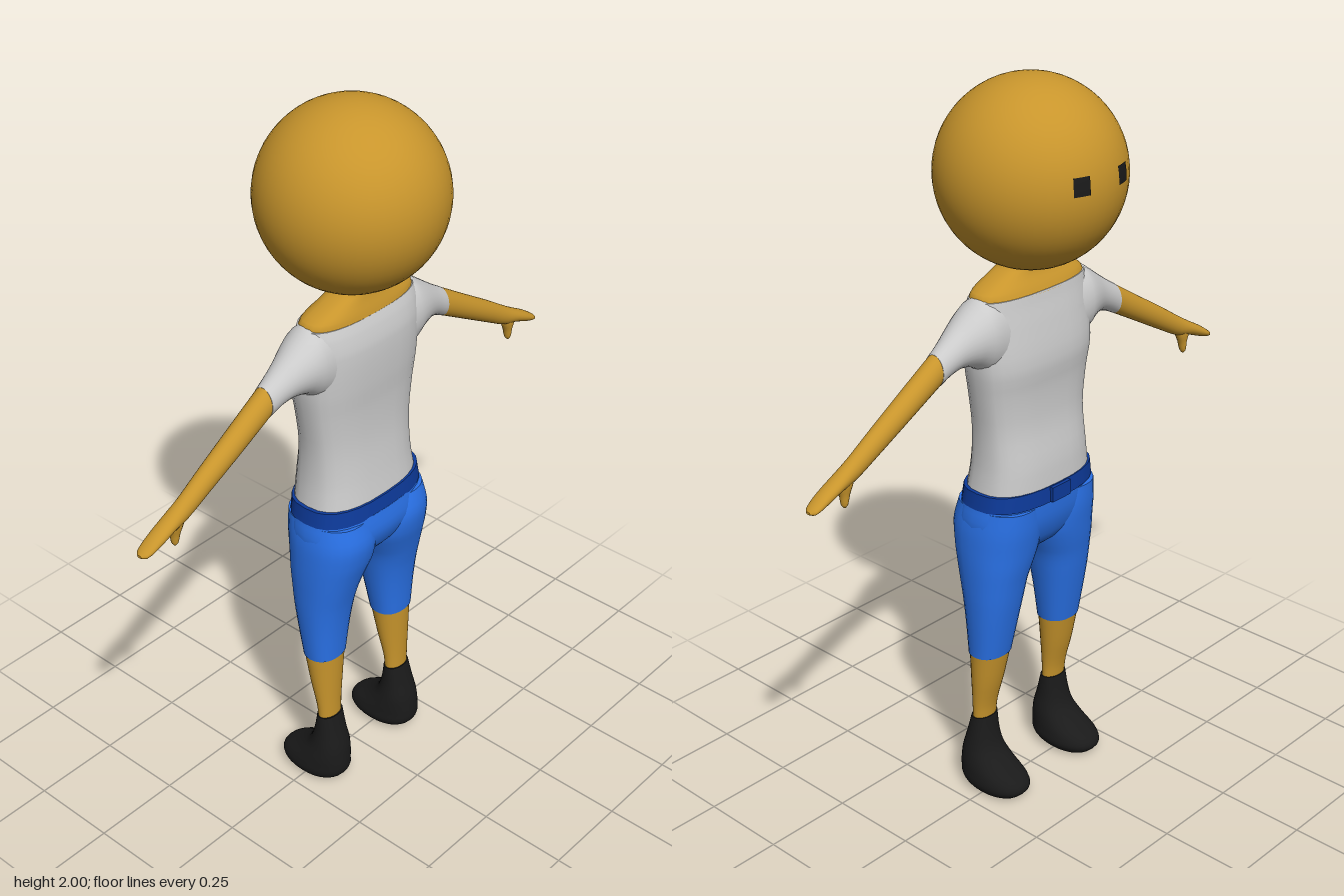
import * as THREE from 'three';

const material = (color) => new THREE.MeshStandardMaterial({ color, roughness: 0.8 });
const SKIN = material(0xc8952c), SHIRT = material(0xcccccc), BLUE = material(0x2a72e8);
const BELT = material(0x0d3a9a), BLACK = material(0x1a1a1a);

// Loft through rounded sections [t, a0, a1, z0, z1] with t ascending.
// axis 'y': t is height and a is x.  axis 'x': t is x and a is height.
function loft(sections, axis = 'y', side = 1, power = 2, n = 28) {
  const rings = [];
  const steps = 3;
  const last = sections.length - 1;
  // smooth the section list with a monotone-friendly Hermite blend
  const slope = (i, k) => {
    const p = sections[Math.max(i - 1, 0)], q = sections[Math.min(i + 1, last)];
    return (q[k] - p[k]) / (q[0] - p[0]);
  };
  for (let i = 0; i < last; i++) {
    const p = sections[i], q = sections[i + 1], h = q[0] - p[0];
    for (let s = 0; s < steps; s++) {
      const u = s / steps, u2 = u * u, u3 = u2 * u;
      rings.push(p.map((v, k) => k === 0 ? v + h * u
        : (2 * u3 - 3 * u2 + 1) * v + (u3 - 2 * u2 + u) * h * slope(i, k)
        + (3 * u2 - 2 * u3) * q[k] + (u3 - u2) * h * slope(i + 1, k)));
    }
  }
  rings.push(sections[last]);

  const pos = [], idx = [];
  const flip = (axis === 'x') !== (side < 0);
  const tri = (a, b, c) => (flip ? idx.push(a, c, b) : idx.push(a, b, c));
  const put = (t, a, z) => (axis === 'y' ? pos.push(side * a, t, z) : pos.push(side * t, a, z));
  const round = (v) => Math.sign(v) * Math.abs(v) ** (2 / power);
  const ring = ([t, a0, a1, z0, z1]) => {
    for (let j = 0; j < n; j++) {
      const w = (j / n) * Math.PI * 2;
      put(t, (a0 + a1) / 2 + round(Math.cos(w)) * (a1 - a0) / 2,
        (z0 + z1) / 2 + round(Math.sin(w)) * (z1 - z0) / 2);
    }
  };
  rings.forEach(ring);
  for (let i = 0; i < rings.length - 1; i++) {
    for (let j = 0; j < n; j++) {
      const a = i * n + j, b = i * n + (j + 1) % n;
      tri(a, a + n, b);
      tri(b, a + n, b + n);
    }
  }
  // end caps with their own vertices
  [rings[0], rings[rings.length - 1]].forEach((r, end) => {
    const base = pos.length / 3;
    ring(r);
    put(r[0], (r[1] + r[2]) / 2, (r[3] + r[4]) / 2);
    for (let j = 0; j < n; j++) {
      const a = base + j, b = base + (j + 1) % n;
      end ? tri(a, base + n, b) : tri(a, b, base + n);
    }
  });
  const g = new THREE.BufferGeometry();
  g.setAttribute('position', new THREE.Float32BufferAttribute(pos, 3));
  g.setIndex(idx);
  g.computeVertexNormals();
  return g;
}

export function createModel() {
  const model = new THREE.Group();
  const add = (name, geometry, mat, parent = model) => {
    const mesh = new THREE.Mesh(geometry, mat);
    mesh.name = name;
    parent.add(mesh);
    return mesh;
  };
  // symmetric section: [height, half width, z0, z1]
  const sym = (list) => list.map(([y, w, z0, z1]) => [y, -w, w, z0, z1]);

  // Head
  add('head', new THREE.SphereGeometry(0.245, 48, 32), SKIN).position.y = 1.755;

  // Bare shoulders and neck
  add('neck', loft(sym([[1.455, 0.19, -0.06, 0.085], [1.475, 0.18, -0.05, 0.08],
    [1.5, 0.125, -0.035, 0.072], [1.52, 0.08, -0.03, 0.068], [1.55, 0.07, -0.03, 0.065]]),
  'y', 1, 2.5), SKIN);

  // Shirt body
  add('shirt', loft(sym([[0.92, 0.187, -0.1, 0.12], [1, 0.177, -0.095, 0.108],
    [1.1, 0.177, -0.08, 0.098], [1.2, 0.19, -0.08, 0.098], [1.28, 0.201, -0.088, 0.104],
    [1.38, 0.203, -0.074, 0.105], [1.43, 0.2, -0.064, 0.095], [1.46, 0.192, -0.059, 0.084]]),
  'y', 1, 2.6), SHIRT);

  // Belt and buckle, at the -z side that the figure faces
  add('belt', loft(sym([[0.885, 0.202, -0.104, 0.13], [0.93, 0.196, -0.102, 0.124]]),
    'y', 1, 2.6), BELT);
  add('buckle', new THREE.BoxGeometry(0.07, 0.042, 0.02), BELT).position.set(0, 0.907, -0.101);

  // Shorts, upper part
  add('hips', loft(sym([[0.72, 0.035, -0.03, 0.06], [0.74, 0.1, -0.055, 0.09],
    [0.775, 0.185, -0.078, 0.118], [0.83, 0.208, -0.096, 0.136], [0.89, 0.2, -0.102, 0.13]]),
  'y', 1, 2.5), BLUE);

  for (const side of [1, -1]) {
    const label = side > 0 ? 'left' : 'right';

    // Leg: trouser leg, shin and shoe
    const leg = new THREE.Group();
    leg.name = label + 'Leg';
    model.add(leg);
    add('trouserLeg', loft([[0.43, 0.077, 0.2, -0.028, 0.074], [0.52, 0.063, 0.207, -0.045, 0.081],
      [0.6, 0.05, 0.212, -0.06, 0.092], [0.66, 0.038, 0.214, -0.07, 0.106],
      [0.71, 0.018, 0.215, -0.08, 0.12], [0.76, 0, 0.214, -0.088, 0.134],
      [0.82, 0, 0.21, -0.096, 0.141], [0.88, 0.02, 0.198, -0.098, 0.126]],
    'y', side, 2.25), BLUE, leg);
    add('shin', loft([[0.2, 0.104, 0.181, 0.02, 0.068], [0.26, 0.101, 0.184, 0.013, 0.068],
      [0.34, 0.09, 0.192, -0.008, 0.07], [0.43, 0.078, 0.199, -0.027, 0.073]],
    'y', side), SKIN, leg);
    add('shoe', loft([[0, 0.105, 0.19, -0.075, 0.06], [0.008, 0.09, 0.208, -0.095, 0.085],
      [0.03, 0.077, 0.219, -0.112, 0.104], [0.055, 0.079, 0.217, -0.098, 0.107],
      [0.08, 0.083, 0.212, -0.055, 0.105], [0.115, 0.089, 0.203, -0.012, 0.1],
      [0.16, 0.097, 0.193, 0.006, 0.087], [0.22, 0.101, 0.184, 0.016, 0.071]],
    'y', side, 2.2), BLACK, leg);

    // Arm: sleeve, bare arm tapering into the hand, thumb
    const arm = new THREE.Group();
    arm.name = label + 'Arm';
    model.add(arm);
    add('sleeve', loft([[0.13, 1.25, 1.47, -0.06, 0.085], [0.18, 1.27, 1.469, -0.062, 0.085],
      [0.215, 1.294, 1.448, -0.053, 0.078], [0.26, 1.304, 1.416, -0.036, 0.063],
      [0.3, 1.296, 1.388, -0.027, 0.051], [0.338, 1.278, 1.364, -0.022, 0.044]],
    'x', side), SHIRT, arm);
    add('armAndHand', loft([[0.335, 1.28, 1.365, -0.021, 0.043], [0.45, 1.218, 1.294, -0.019, 0.041],
      [0.55, 1.164, 1.233, -0.016, 0.037], [0.62, 1.128, 1.188, -0.014, 0.035],
      [0.67, 1.115, 1.158, -0.015, 0.035], [0.72, 1.096, 1.13, -0.014, 0.034],
      [0.755, 1.086, 1.106, -0.01, 0.028], [0.766, 1.09, 1.097, 0.002, 0.016]],
    'x', side), SKIN, arm);
    add('thumb', loft([[1.066, 0.649, 0.655, 0.005, 0.013], [1.075, 0.643, 0.66, -0.001, 0.019],
      [1.1, 0.636, 0.663, -0.004, 0.023], [1.125, 0.624, 0.672, -0.008, 0.028],
      [1.15, 0.618, 0.675, -0.008, 0.028]], 'y', side, 2, 16), SKIN, arm);

    // Eye: square patch lying on the head
    const eye = new THREE.SphereGeometry(0.247, 4, 4,
      Math.PI * 1.5 + side * 0.31 - 0.095, 0.19, Math.PI / 2 - 0.2, 0.19);
    add(label + 'Eye', eye, BLACK).position.y = 1.755;
  }
  return model;
}
